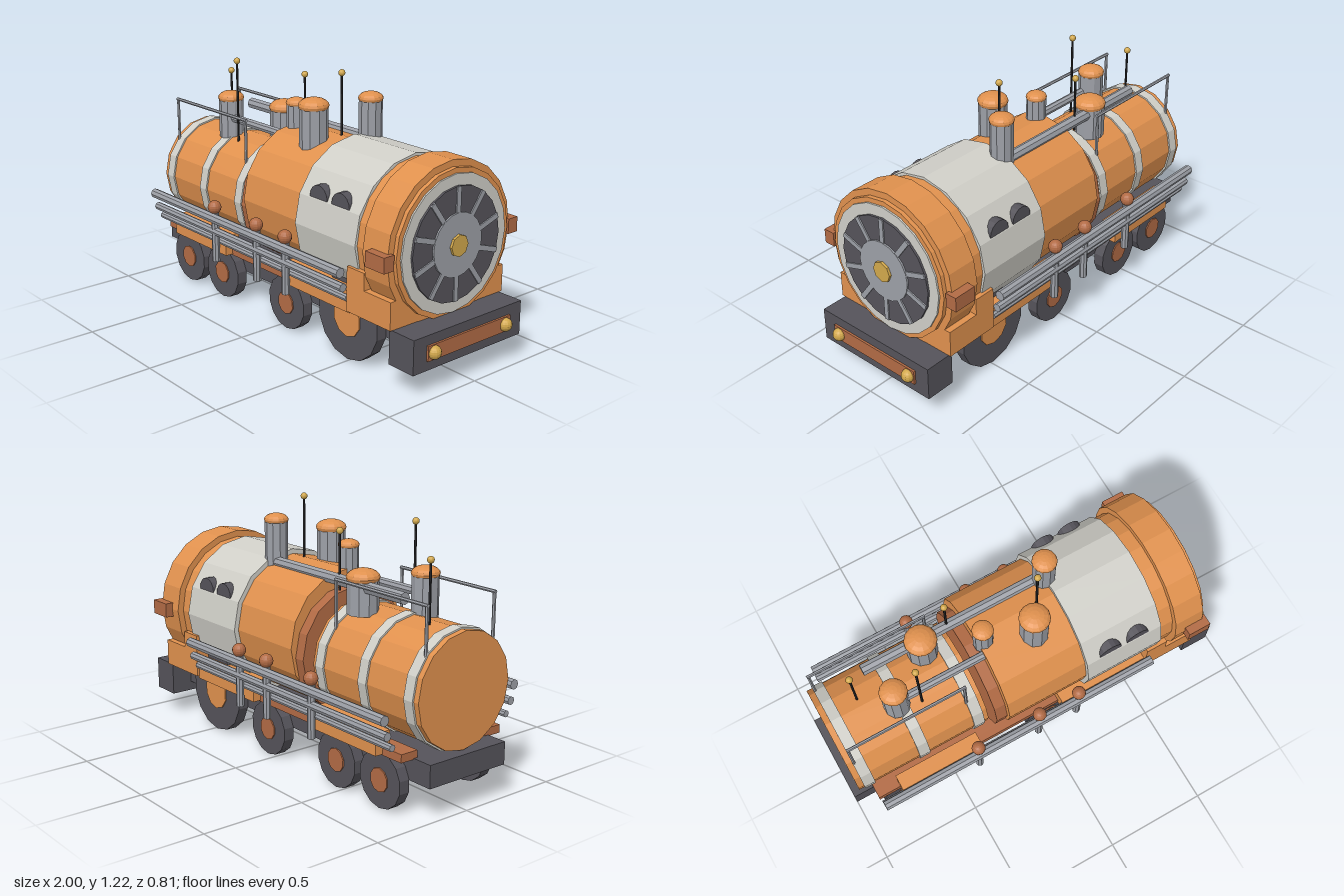
import * as THREE from 'three';

const mat = (color) => new THREE.MeshStandardMaterial({ color, flatShading: true });

export function createModel() {
  const model = new THREE.Group();
  const orange = mat(0xe0914e), brown = mat(0xb26b45), dark = mat(0x55535a), grey = mat(0x9da0a7),
    light = mat(0xd0cfc8), gold = mat(0xd2a84c), black = mat(0x2a2a2c);

  function add(name, geometry, material, x, y, z) {
    const mesh = new THREE.Mesh(geometry, material);
    mesh.name = name;
    mesh.position.set(x, y, z);
    model.add(mesh);
    return mesh;
  }
  // box given by its limits on each axis
  const box = (name, m, x0, x1, y0, y1, z0, z1) =>
    add(name, new THREE.BoxGeometry(x1 - x0, y1 - y0, z1 - z0), m, (x0 + x1) / 2, (y0 + y1) / 2, (z0 + z1) / 2);
  // cylinders along each axis
  const cylX = (name, m, r, x0, x1, y, z, n = 16) =>
    add(name, new THREE.CylinderGeometry(r, r, x1 - x0, n).rotateZ(Math.PI / 2), m, (x0 + x1) / 2, y, z);
  const cylY = (name, m, r, y0, y1, x, z, n = 10) =>
    add(name, new THREE.CylinderGeometry(r, r, y1 - y0, n), m, x, (y0 + y1) / 2, z);
  const cylZ = (name, m, r, z0, z1, x, y, n = 14) =>
    add(name, new THREE.CylinderGeometry(r, r, Math.abs(z1 - z0), n).rotateX(Math.PI / 2), m, x, y, (z0 + z1) / 2);
  const ball = (name, m, r, x, y, z) => add(name, new THREE.SphereGeometry(r, 14, 10), m, x, y, z);

  // chassis and front beam
  box('chassis', dark, -1, 0.82, 0.155, 0.26, -0.22, 0.22);
  box('frontBeam', dark, 0.81, 0.957, 0.11, 0.27, -0.328, 0.328);
  box('beamPlate', brown, 0.95, 0.967, 0.155, 0.225, -0.252, 0.252);

  // rear tank with bands
  cylX('rearTank', orange, 0.262, -0.965, -0.28, 0.525, 0);
  for (const x of [-0.91, -0.62, -0.33]) cylX('tankBand', light, 0.27, x - 0.027, x + 0.027, 0.525, 0);

  // main boiler
  const cy = 0.585;
  cylX('boilerCollar', brown, 0.3, -0.255, -0.2, 0.54, 0);
  cylX('boiler', orange, 0.325, -0.2, 0.22, cy, 0);
  cylX('boilerJacket', light, 0.348, 0.212, 0.612, cy, 0);
  cylX('smokebox', orange, 0.335, 0.61, 0.85, cy, 0, 20);
  cylX('smokeboxRing', orange, 0.366, 0.68, 0.83, cy, 0, 20);

  // round front face with spokes
  cylX('faceRim', light, 0.312, 0.83, 0.858, cy, 0, 20);
  cylX('faceDisc', dark, 0.26, 0.84, 0.868, cy, 0, 20);
  cylX('faceHub', grey, 0.145, 0.85, 0.876, cy, 0, 20);
  cylX('faceKnob', gold, 0.05, 0.86, 0.888, cy, 0, 8);
  for (let i = 0; i < 10; i++) {
    const a = (i * Math.PI) / 5;
    const spoke = add('faceSpoke', new THREE.BoxGeometry(0.016, 0.12, 0.024), grey,
      0.866, cy + 0.198 * Math.cos(a), 0.198 * Math.sin(a));
    spoke.rotation.x = a;
  }

  // parts that repeat on both sides
  for (const s of [1, -1]) {
    const side = (name, m, x0, x1, y0, y1, z0, z1) =>
      box(name, m, x0, x1, y0, y1, Math.min(s * z0, s * z1), Math.max(s * z0, s * z1));
    side('runningBoard', brown, -0.9, 0.735, 0.255, 0.293, 0.2, 0.29);
    side('sidePanel', orange, -0.785, -0.35, 0.26, 0.36, 0.25, 0.33);
    side('sidePanel', orange, 0.09, 0.56, 0.26, 0.36, 0.25, 0.33);
    side('smokeboxFoot', orange, 0.555, 0.665, 0.272, 0.48, 0.1, 0.342);
    side('smokeboxSaddle', orange, 0.66, 0.83, 0.272, 0.4, 0.1, 0.342);
    side('ringBlock', brown, 0.735, 0.85, 0.547, 0.617, 0.345, 0.402);
    ball('headLamp', gold, 0.031, 0.969, 0.19, s * 0.218);

    // wheels
    for (const [x, r, hub, m] of [[-0.75, 0.13, 0.055, brown], [-0.46, 0.13, 0.055, brown],
      [0.05, 0.13, 0.055, brown], [0.485, 0.198, 0.087, orange]]) {
      cylZ('wheel', dark, r, s * 0.222, s * 0.275, x, r);
      cylZ('wheelHub', m, hub, s * 0.26, s * 0.281, x, r, 10);
    }

    // side pipes on posts
    cylX('sidePipe', grey, 0.024, -0.895, 0.555, 0.457, s * 0.379, 8);
    cylX('sidePipe', grey, 0.02, -0.895, 0.555, 0.385, s * 0.362, 8);
    cylX('sidePipe', grey, 0.016, -0.895, 0.555, 0.33, s * 0.335, 8);
    for (const x of [-0.39, -0.06, 0.155]) {
      cylY('pipePost', grey, 0.019, 0.23, 0.5, x, s * 0.36, 8);
      ball('postBall', brown, 0.033, x, 0.507, s * 0.362);
    }

    // portholes sunk into the jacket
    for (const x of [0.34, 0.485]) cylZ('porthole', dark, 0.058, s * 0.24, s * 0.319, x, 0.727, 16);

    // handrail over the rear tank
    cylX('handrail', grey, 0.008, -0.938, -0.347, 0.915, s * 0.193, 6);
    for (const x of [-0.93, -0.355]) cylY('handrailPost', grey, 0.008, 0.69, 0.915, x, s * 0.193, 6);
  }

  // pipes along the roof
  cylX('roofPipe', grey, 0.028, -0.71, 0.21, 0.888, -0.112, 8);
  cylX('roofPipe', grey, 0.021, -0.67, -0.2, 0.862, 0.085, 8);

  // stacks with domed caps: x, z, radius, base, body top
  for (const [x, z, r, y0, y1] of [[-0.64, 0.07, 0.061, 0.76, 0.96], [-0.42, -0.095, 0.072, 0.76, 0.925],
    [-0.17, 0.03, 0.047, 0.85, 1.013], [0.05, 0.105, 0.068, 0.85, 1.052], [0.215, -0.095, 0.055, 0.85, 1.087]]) {
    cylY('stack', grey, r, y0, y1, x, z);
    const cap = ball('stackCap', orange, r * 1.06, x, y1, z);
    cap.scale.y = 0.52;
  }

  // antennas: x, z, base, tip
  for (const [x, z, y0, y1] of [[-0.785, -0.04, 0.77, 1.057], [-0.532, 0.107, 0.75, 1.165],
    [-0.28, -0.113, 0.84, 1.11], [0.123, 0, 0.89, 1.2]]) {
    cylY('antenna', black, 0.006, y0, y1, x, z, 6);
    ball('antennaTip', gold, 0.016, x, y1, z);
  }
  return model;
}
